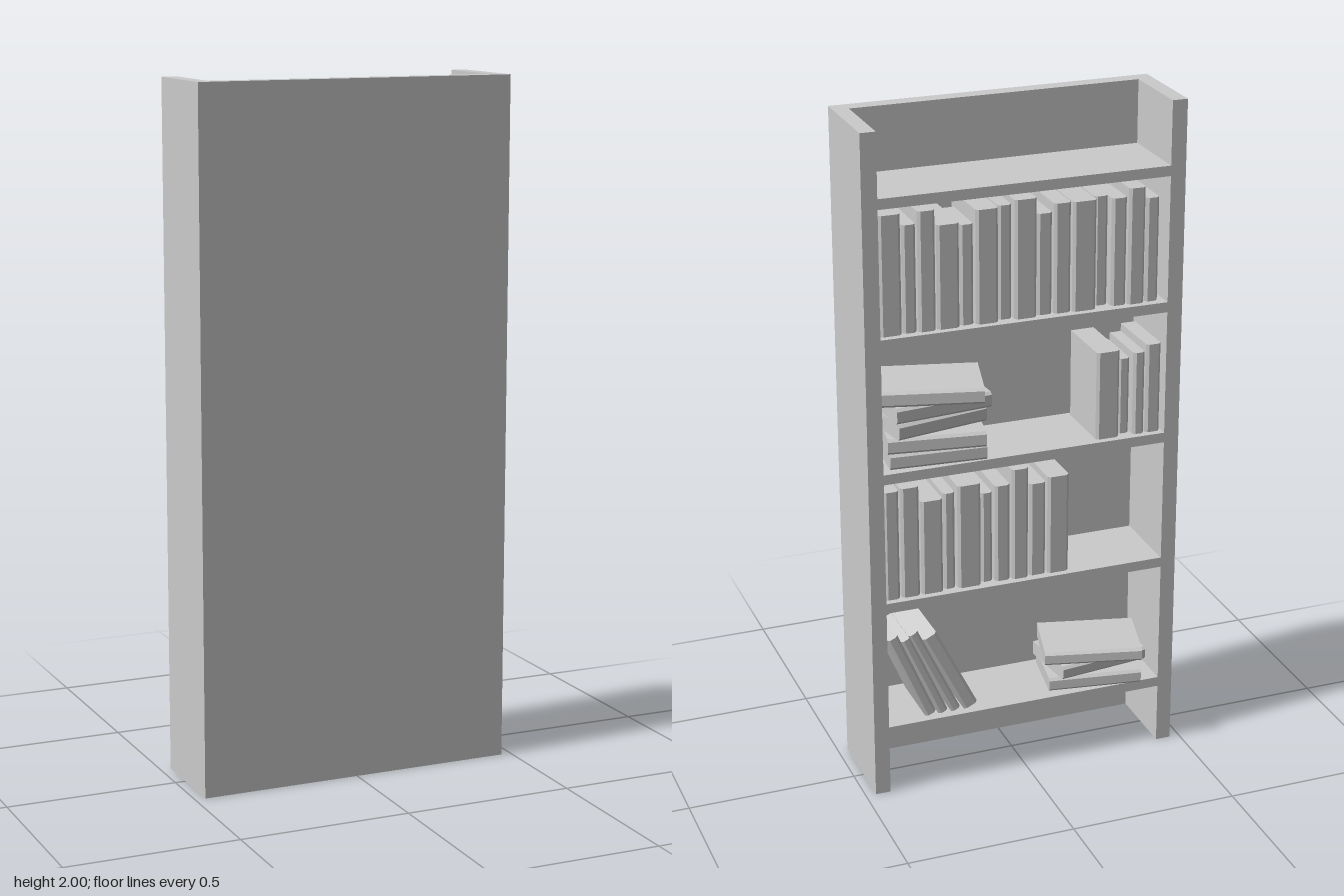
import * as THREE from 'three';

const material = new THREE.MeshStandardMaterial({ color: 0xcccccc, flatShading: true });
const SHELVES = [1.815, 1.415, 1.015, 0.615, 0.215]; // top surfaces
const T = 0.03;

function box(parent, name, w, h, d, x, y, z) {
  const mesh = new THREE.Mesh(new THREE.BoxGeometry(w, h, d), material);
  mesh.name = name;
  mesh.position.set(x, y, z);
  parent.add(mesh);
}

// Upright book: base on y = 0, bevelled spine towards -z
function bookGeometry(w, h, d) {
  const c = Math.min(0.008, w * 0.25), a = w / 2, b = d / 2;
  const outline = [[-a, -b], [a, -b], [a, b - c], [a - c, b], [-a + c, b], [-a, b - c]];
  const shape = new THREE.Shape(outline.map(p => new THREE.Vector2(...p)));
  return new THREE.ExtrudeGeometry(shape, { depth: h, bevelEnabled: false }).rotateX(-Math.PI / 2);
}

function addBook(parent, geometry) {
  const mesh = new THREE.Mesh(geometry, material);
  mesh.name = 'book';
  parent.add(mesh);
  return mesh;
}

function group(parent, name, y) {
  const g = new THREE.Group();
  g.name = name;
  g.position.y = y;
  parent.add(g);
  return g;
}

// Standing books [width, height, depth, spine z], placed from startX towards -x
function bookRow(parent, name, y, startX, gap, books) {
  const row = group(parent, name, y);
  let x = startX;
  for (const [w, h, d, spine] of books) {
    addBook(row, bookGeometry(w, h, d)).position.set(x - w / 2, 0, spine + d / 2);
    x -= w + gap;
  }
}

// Lying books [thickness, length, depth, x, z, turn], from the bottom up
function bookStack(parent, name, y, books) {
  const stack = group(parent, name, y);
  let top = 0;
  for (const [t, l, d, x, z, turn] of books) {
    const g = bookGeometry(t, l, d).translate(0, -l / 2, 0).rotateZ(Math.PI / 2);
    const book = addBook(stack, g);
    book.position.set(x, top + t / 2, z);
    book.rotation.y = turn;
    top += t;
  }
}

// Leaning books [width, height, depth, x of lower corner, tilt]
function leaningBooks(parent, name, y, books) {
  const g = group(parent, name, y);
  for (const [w, h, d, x, tilt] of books) {
    const book = addBook(g, bookGeometry(w, h, d).translate(-w / 2, 0, 0));
    book.position.set(x, 0, -0.1 + d / 2);
    book.rotation.z = -tilt;
  }
}

export function createModel() {
  const model = new THREE.Group();
  model.name = 'bookcase';

  // Case
  box(model, 'backPanel', 0.85, 2, 0.045, 0, 1, 0.1375);
  for (const s of [-1, 1]) box(model, 'sidePanel', 0.045, 2, 0.28, s * 0.4475, 1, 0.02);
  for (const y of SHELVES) box(model, 'shelf', 0.85, T, 0.235, 0, y - T / 2, -0.0025);

  // Full row under the top shelf
  bookRow(model, 'upperBooks', SHELVES[1], 0.418, 0.004, [
    [0.063, 0.345, 0.19, -0.1], [0.04, 0.31, 0.17, -0.095], [0.05, 0.345, 0.19, -0.1],
    [0.065, 0.3, 0.19, -0.1], [0.04, 0.29, 0.16, -0.09], [0.065, 0.33, 0.2, -0.1],
    [0.04, 0.33, 0.17, -0.085], [0.065, 0.345, 0.2, -0.1], [0.045, 0.295, 0.17, -0.09],
    [0.05, 0.32, 0.18, -0.095], [0.07, 0.32, 0.2, -0.1], [0.04, 0.32, 0.16, -0.075],
    [0.045, 0.315, 0.18, -0.095], [0.05, 0.34, 0.2, -0.1], [0.04, 0.305, 0.17, -0.095],
  ]);

  // Second compartment: tall stack and a few standing books
  bookStack(model, 'tallStack', SHELVES[2], [
    [0.047, 0.28, 0.19, 0.25, -0.015, -0.08],
    [0.047, 0.28, 0.2, 0.25, -0.02, -0.15],
    [0.047, 0.28, 0.19, 0.255, 0, 0.18],
    [0.047, 0.29, 0.19, 0.245, -0.005, 0.1],
    [0.047, 0.29, 0.2, 0.256, -0.03, -0.25],
  ]);
  bookRow(model, 'sideBooks', SHELVES[2], -0.222, 0.004, [
    [0.07, 0.265, 0.2, -0.1], [0.035, 0.23, 0.16, -0.08],
    [0.035, 0.25, 0.18, -0.1], [0.045, 0.27, 0.19, -0.1],
  ]);

  // Third compartment: partly filled row
  bookRow(model, 'lowerBooks', SHELVES[3], 0.42, 0.005, [
    [0.045, 0.335, 0.18, -0.1], [0.055, 0.34, 0.19, -0.1], [0.065, 0.29, 0.18, -0.1],
    [0.035, 0.3, 0.17, -0.09], [0.07, 0.32, 0.2, -0.1], [0.035, 0.28, 0.16, -0.085],
    [0.045, 0.3, 0.18, -0.095], [0.05, 0.345, 0.19, -0.1], [0.05, 0.29, 0.18, -0.095],
    [0.065, 0.305, 0.19, -0.1],
  ]);

  // Bottom compartment: leaning books and a short stack
  leaningBooks(model, 'leaningBooks', SHELVES[4], [
    [0.035, 0.29, 0.19, 0.305, 0.4], [0.03, 0.28, 0.17, 0.264, 0.41],
    [0.03, 0.3, 0.19, 0.225, 0.44], [0.045, 0.28, 0.21, 0.185, 0.46],
  ]);
  bookStack(model, 'shortStack', SHELVES[4], [
    [0.043, 0.28, 0.19, -0.24, -0.018, -0.16],
    [0.042, 0.28, 0.19, -0.25, 0, 0.12],
    [0.042, 0.29, 0.2, -0.24, -0.022, -0.25],
  ]);

  return model;
}
